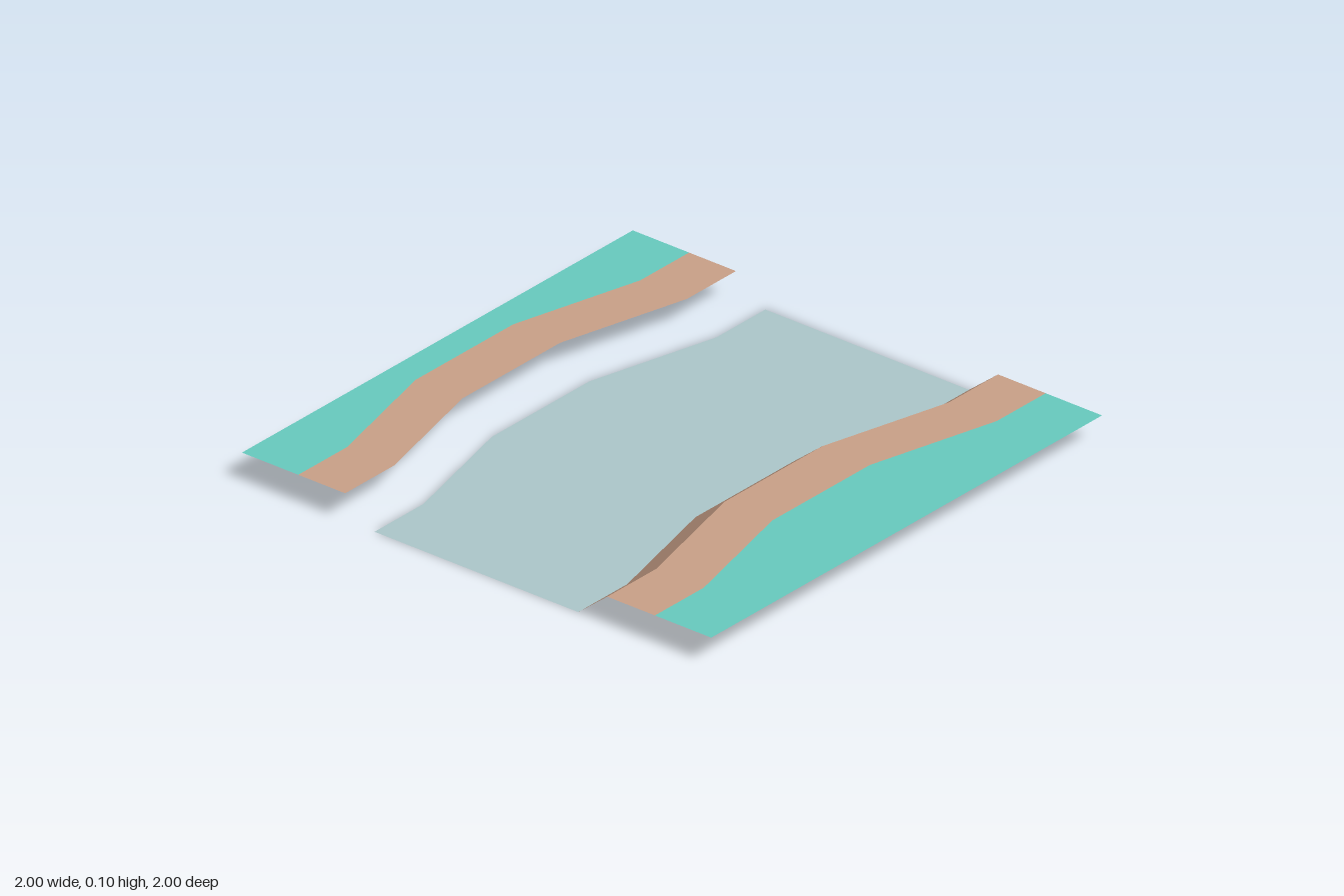
import * as THREE from 'three';

const material = (name, color) => {
  const m = new THREE.MeshStandardMaterial({ color, side: THREE.DoubleSide });
  m.name = name;
  return m;
};

// The river's course: every bank line shifts by BEND towards -x in the middle
const COURSE = [[-1, 0], [-0.75, 0], [-0.25, 1], [0.25, 1], [0.75, 0], [1, 0]];
const BEND = 0.125;
const WATER_Y = 0;
const BANK_Y = 0.1;

// A line along the river; straight ones ignore the bend
const line = (x, y, bends = true) =>
  COURSE.map(([z, shift]) => [x - (bends ? shift * BEND : 0), y, z]);

// A flat-faceted sheet between two lines, a on the -x side and b on the +x side
function strip(name, a, b, mat) {
  const points = [];
  for (let i = 0; i < a.length - 1; i++) {
    points.push(a[i], a[i + 1], b[i], b[i], a[i + 1], b[i + 1]);
  }
  const geometry = new THREE.BufferGeometry();
  geometry.setAttribute('position', new THREE.Float32BufferAttribute(points.flat(), 3));
  geometry.computeVertexNormals();
  const mesh = new THREE.Mesh(geometry, mat);
  mesh.name = name;
  return mesh;
}

export function createModel() {
  const grass = material('grass', 0x67cbbf);
  const dirt = material('dirt', 0xcaa188);
  const water = material('water', 0xadc7cb);

  const group = new THREE.Group();
  group.name = 'riverTile';

  // Lines where the surfaces meet, from -x to +x
  const rightRim = line(-1, BANK_Y, false);
  const rightGrassEdge = line(-0.76, BANK_Y);
  const rightBankEdge = line(-0.56, BANK_Y);
  const rightWaterEdge = line(-0.435, WATER_Y);
  const leftWaterEdge = line(0.433, WATER_Y);
  const leftBankEdge = line(0.557, BANK_Y);
  const leftGrassEdge = line(0.76, BANK_Y);
  const leftRim = line(1, BANK_Y, false);

  group.add(
    strip('rightGrass', rightRim, rightGrassEdge, grass),
    strip('rightBank', rightGrassEdge, rightBankEdge, dirt),
    strip('riverWater', rightWaterEdge, leftWaterEdge, water),
    // Only the left bank has a slope down to the water
    strip('leftSlope', leftWaterEdge, leftBankEdge, dirt),
    strip('leftBank', leftBankEdge, leftGrassEdge, dirt),
    strip('leftGrass', leftGrassEdge, leftRim, grass),
  );
  return group;
}
